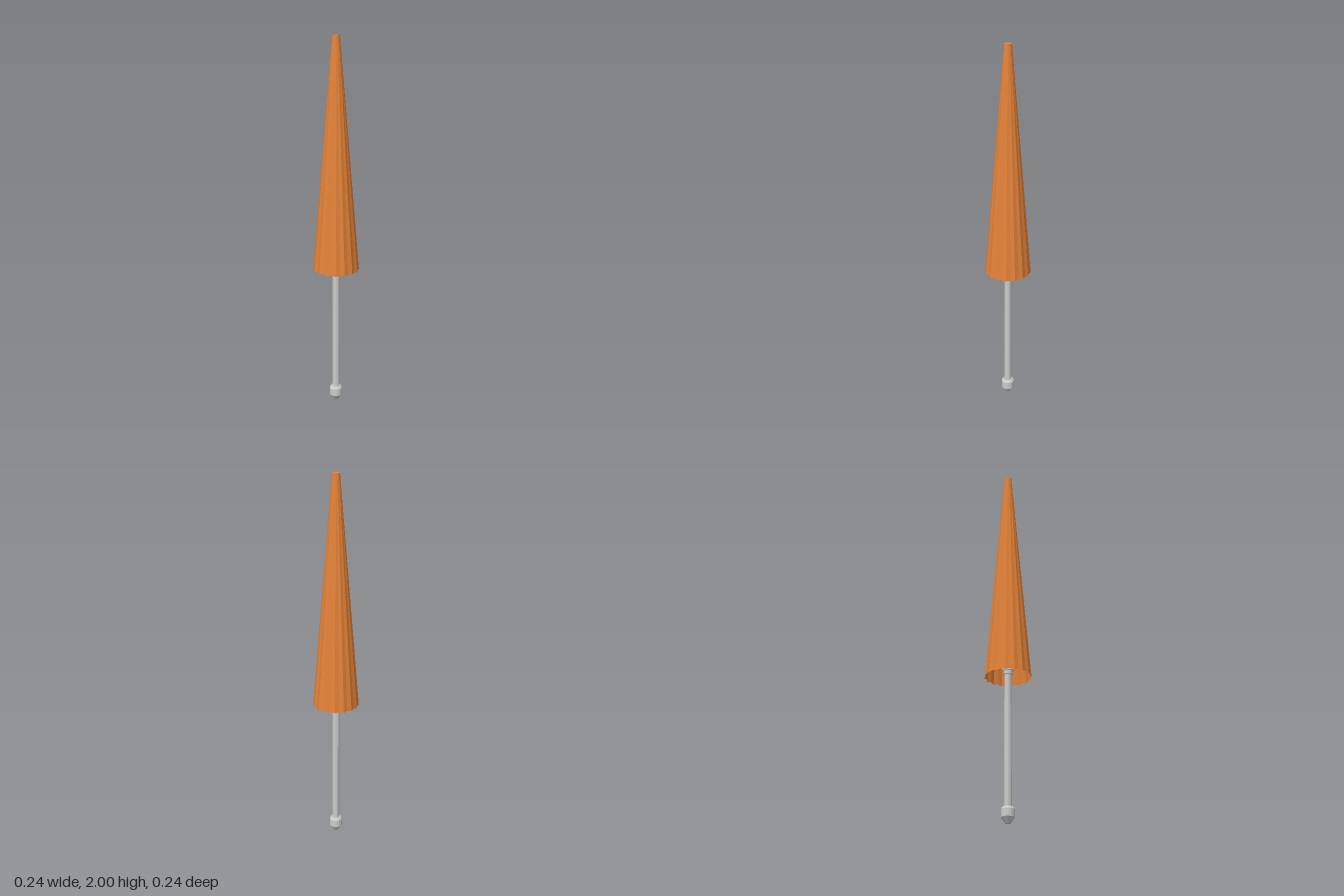
import * as THREE from 'three';

const grey = new THREE.MeshStandardMaterial({ color: 0xcccccc, flatShading: true });
const orange = new THREE.MeshStandardMaterial({ color: 0xe58339, flatShading: true, side: THREE.DoubleSide });

function add(group, name, geometry, material) {
  const mesh = new THREE.Mesh(geometry, material);
  mesh.name = name;
  group.add(mesh);
  return mesh;
}

// Turned part from [radius, height] pairs, listed bottom to top
function turned(points, sides = 16) {
  return new THREE.LatheGeometry(points.map(([r, y]) => new THREE.Vector2(r, y)), sides);
}

// Closed canopy: a cone whose hem alternates between 16 ribs and 16 folds
function canopyGeometry() {
  const hem = 0.765, top = 2, sides = 32;
  const geometry = new THREE.CylinderGeometry(0.02, 0.12, top - hem, sides, 1, true);
  geometry.translate(0, (top + hem) / 2, 0);
  const p = geometry.attributes.position;
  for (let i = 0; i < p.count; i++) {
    if (p.getY(i) > 1) continue;
    const angle = Math.atan2(p.getX(i), p.getZ(i));
    const rib = Math.round(angle / (2 * Math.PI) * sides) % 2 !== 0;
    const r = rib ? 0.1235 : 0.1175;
    p.setXYZ(i, r * Math.sin(angle), rib ? hem - 0.003 : hem + 0.004, r * Math.cos(angle));
  }
  geometry.computeVertexNormals();
  return geometry;
}

export function createModel() {
  const model = new THREE.Group();
  model.name = 'closedParasol';

  // Pole
  const pole = add(model, 'pole', new THREE.CylinderGeometry(0.019, 0.019, 1.92, 16), grey);
  pole.position.y = 1.03;

  // Foot with pointed end
  add(model, 'foot', turned([[0, 0], [0.014, 0], [0.035, 0.03], [0.035, 0.07], [0.027, 0.082], [0, 0.082]]), grey);

  // Sliding collar just inside the hem
  add(model, 'collar', turned([[0.019, 0.78], [0.024, 0.78], [0.024, 0.8], [0.03, 0.8], [0.03, 0.84], [0.019, 0.84]]), grey);

  // Folded canopy and its top cap
  add(model, 'canopy', canopyGeometry(), orange);
  const cap = add(model, 'canopyCap', new THREE.CircleGeometry(0.02, 32), orange);
  cap.rotation.x = -Math.PI / 2;
  cap.position.y = 2;

  return model;
}
